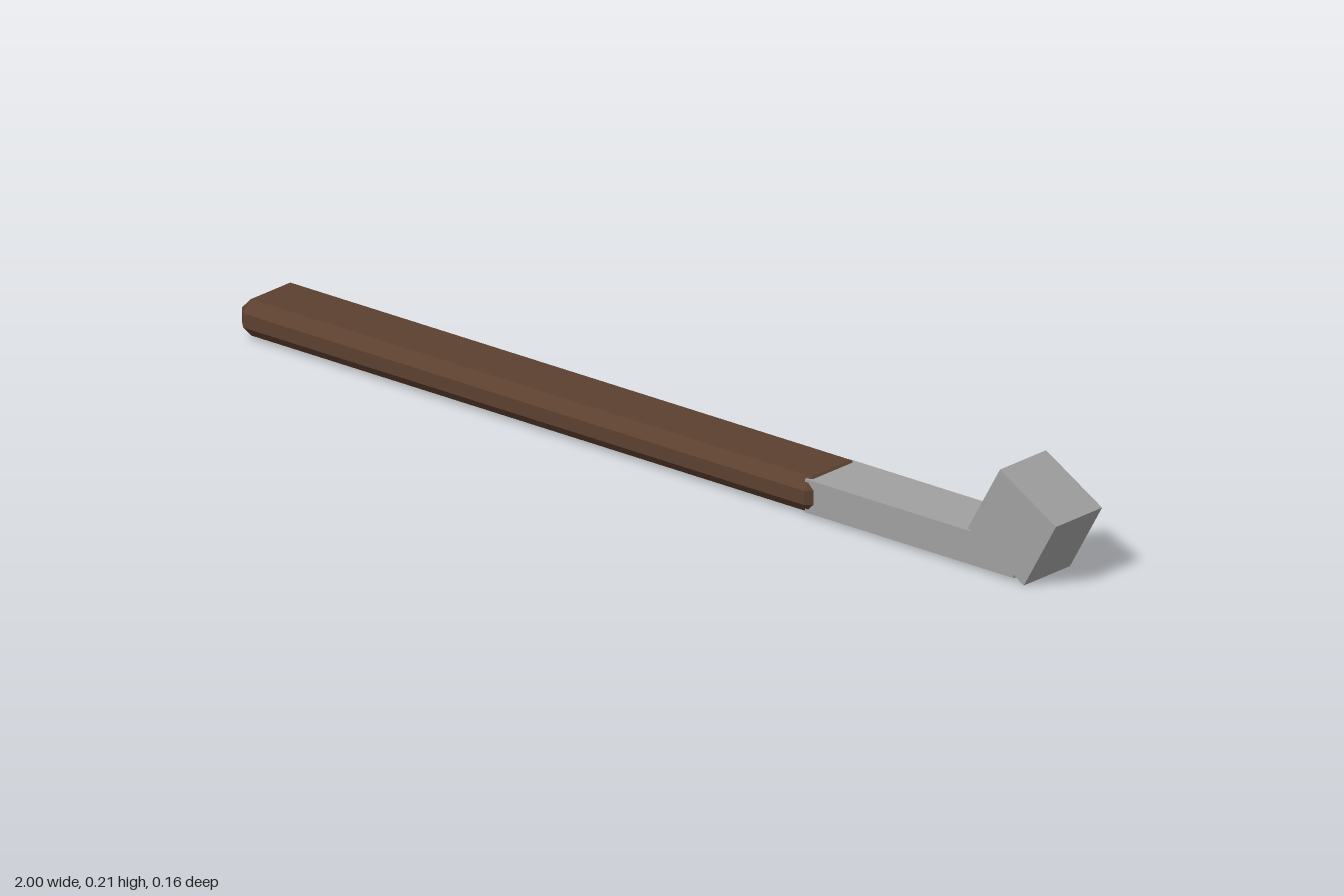
import * as THREE from 'three';
import { ConvexGeometry } from 'three/addons/geometries/ConvexGeometry.js';

// Box whose every edge is cut by a flat chamfer
function chamferedBox(w, h, d, bevel) {
  const half = [w / 2, h / 2, d / 2];
  const points = [];
  for (const sx of [-1, 1]) for (const sy of [-1, 1]) for (const sz of [-1, 1]) {
    const sign = [sx, sy, sz];
    for (let axis = 0; axis < 3; axis++) {
      const p = half.map((v, i) => sign[i] * (i === axis ? v : v - bevel));
      points.push(new THREE.Vector3(...p));
    }
  }
  return new ConvexGeometry(points);
}

export function createModel() {
  const model = new THREE.Group();
  model.name = 'barTool';

  const wood = new THREE.MeshStandardMaterial({ color: 0x5c4030 });
  wood.name = 'dark brown wood';
  const steel = new THREE.MeshStandardMaterial({ color: 0xa0a0a0 });
  steel.name = 'grey steel';

  const add = (name, geometry, material, x, y, angle = 0) => {
    const mesh = new THREE.Mesh(geometry, material);
    mesh.name = name;
    mesh.position.set(x, y, 0);
    mesh.rotation.z = angle;
    model.add(mesh);
  };

  // Long grip with chamfered edges
  add('handle', chamferedBox(1.415, 0.072, 0.155, 0.022), wood, -0.2925, 0.042);

  // Flat shaft running out of the grip
  add('shaft', new THREE.BoxGeometry(0.51, 0.066, 0.13), steel, 0.64, 0.041);

  // Tilted block at the tip
  add('head', new THREE.BoxGeometry(0.158, 0.157, 0.13), steel, 0.891, 0.1075, -Math.PI / 6);

  return model;
}
